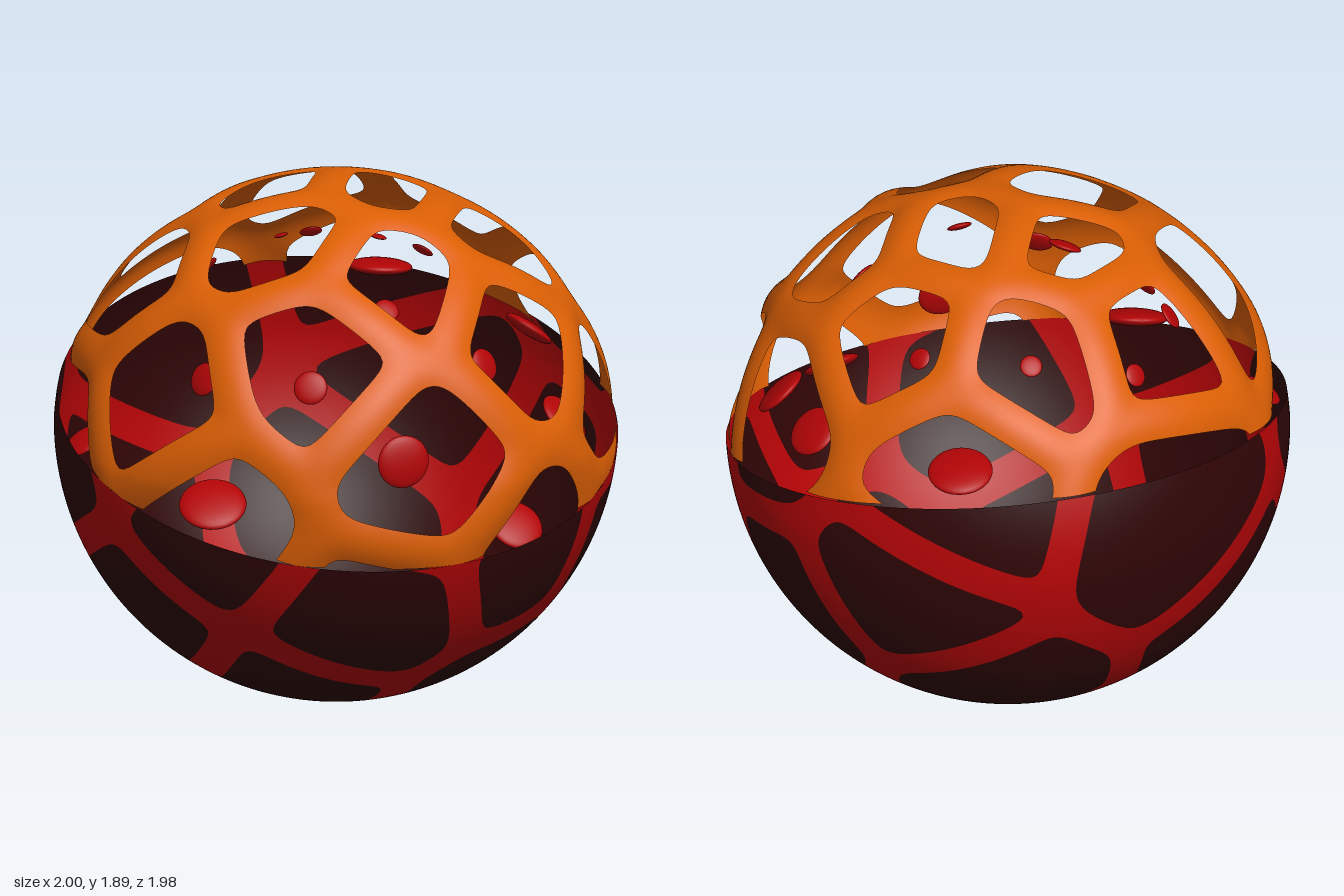
import * as THREE from 'three';
import { mergeVertices } from 'three/addons/utils/BufferGeometryUtils.js';

const V = (x, y, z) => new THREE.Vector3(x, y, z);

// Cell centres as directions from the middle of the ball
const upperCells = [
  [-.18, .87, -.17], [.18, .87, .04], [-.31, .8, .24], [.1, .73, -.56], [-.37, .69, -.53],
  [-.68, .58, -.18], [.52, .7, -.24], [.49, .7, .25], [.03, .69, .55], [-.82, .24, .38],
  [.88, .31, -.04], [.5, .37, -.77], [-.36, .46, .72], [.43, .47, .67], [-.03, .12, .98],
  [-.76, -.1, .63], [.45, -.32, .84], [.84, .1, .46],
];
const lowerCells = [
  [-.18, -.5, .84], [.82, -.34, .43], [.87, -.39, -.24], [.69, -.17, -.7], [.34, -.64, -.7],
  [.4, -.87, .42], [.34, -.93, -.05], [-.32, -.88, .39], [-.33, .15, -.93], [-.97, -.03, -.14],
  [-.6, -.5, -.63], [-.8, -.58, .14], [-.16, -.95, -.25],
];
const seeds = [...upperCells, ...lowerCells].map((c) => V(...c).normalize());
const bisectors = seeds.map((a, i) =>
  seeds.filter((_, j) => j !== i).map((b) => a.clone().sub(b).normalize()));

// Distance from the nearest cell border, rounded off in the corners
function borderDistance(d) {
  let best = 0;
  seeds.forEach((s, i) => { if (s.dot(d) > seeds[best].dot(d)) best = i; });
  const k = 0.027;
  let sum = 0;
  for (const n of bisectors[best]) sum += Math.exp(-n.dot(d) / k);
  return Math.max(-0.02, -k * Math.log(sum));
}

// Height above the tilted plane where net and bowl meet
const seamHeight = (d) => d.y + 0.31 * d.z - 0.02 * d.x - 0.03;

// Keep the part of a polygon where value(corner) is positive
function clip(poly, value) {
  const out = [];
  poly.forEach((a, i) => {
    const b = poly[(i + 1) % poly.length];
    const va = value(a), vb = value(b);
    if (va >= 0) out.push(a);
    if ((va >= 0) !== (vb >= 0)) {
      const t = va / (va - vb);
      out.push({
        d: a.d.clone().lerp(b.d, t).normalize(),
        f: a.f + (b.f - a.f) * t,
        h: a.h + (b.h - a.h) * t,
      });
    }
  });
  return out;
}

// Collects clipped polygons and turns them into a smooth mesh
function surface(name, material, radius) {
  const points = [];
  return {
    add(poly) {
      const p = poly.map((c) => c.d.clone().multiplyScalar(radius(c)));
      for (let i = 2; i < p.length; i++) {
        for (const q of [p[0], p[i - 1], p[i]]) points.push(q.x, q.y + 1, q.z);
      }
    },
    mesh() {
      let g = new THREE.BufferGeometry();
      g.setAttribute('position', new THREE.Float32BufferAttribute(points, 3));
      g = mergeVertices(g, 1e-4);
      g.computeVertexNormals();
      const m = new THREE.Mesh(g, material);
      m.name = name;
      return m;
    },
  };
}

export function createModel() {
  const group = new THREE.Group();
  group.name = 'cellularBall';
  const mat = (name, color) => {
    const m = new THREE.MeshStandardMaterial({ color, side: THREE.DoubleSide });
    m.name = name;
    return m;
  };
  const orange = mat('orange', 0xdc5f04);
  const red = mat('red', 0xb20406);
  const dark = mat('dark maroon', 0x2e0405);

  const ribHalf = 0.064, netHalf = 0.077;
  const bowlRadius = (c) => 1 - 0.05 * Math.max(0, c.d.y);
  const netRadius = (c) =>
    1 - 0.11 * Math.max(0, c.d.y) - 0.014 * Math.min(1, (Math.max(0, c.f) / netHalf) ** 2);

  const net = surface('upperNet', orange, netRadius);
  const ribs = surface('bowlRibs', red, bowlRadius);
  const panels = surface('bowlPanels', dark, bowlRadius);

  // Divide a fine sphere into net, ribs and panels
  const pos = new THREE.IcosahedronGeometry(1, 46).attributes.position;
  for (let i = 0; i < pos.count; i += 3) {
    const tri = [0, 1, 2].map((k) => {
      const d = V().fromBufferAttribute(pos, i + k).normalize();
      return { d, f: borderDistance(d), h: seamHeight(d) };
    });
    const upper = clip(tri, (c) => c.h);
    const lower = clip(tri, (c) => -c.h);
    net.add(clip(upper, (c) => netHalf - c.f));
    ribs.add(clip(lower, (c) => ribHalf - c.f));
    panels.add(clip(lower, (c) => c.f - ribHalf));
  }
  group.add(net.mesh(), ribs.mesh(), panels.mesh());

  // Flat floating discs behind the openings: x, y, z, radius
  // and, where they do not face straight outward, the facing direction
  const discs = [
    [-.155, 1.66, -.14, .025], [.16, 1.66, 0, .03], [-.29, 1.56, .2, .06], [.075, 1.56, -.44, .04],
    [-.3, 1.46, -.49, .042], [-.55, 1.44, -.17, .05], [.41, 1.52, -.21, .04], [.41, 1.54, .23, .035],
    [.01, 1.54, .465, .045], [-.6, 1.29, .25, .06], [.77, 1.22, -.1, .095, [.6, .75, -.1]],
    [.42, 1.33, -.65, .115, [.1, .98, -.13]], [-.32, 1.32, .57, .06], [.34, 1.33, .57, .06],
    [-.03, 1.06, .73, .095], [-.68, .92, .54, .12, [-.2, .85, .43]],
    [.37, .8, .8, .1, [.1, .75, .65]], [.71, 1.04, .4, .1, [.55, .7, .45]],
    [-.91, .99, -.12, .08, [-.55, .83, 0]],
  ];
  const ball = new THREE.SphereGeometry(1, 24, 16);
  for (const [x, y, z, r, facing = [x, y - 1, z]] of discs) {
    const disc = new THREE.Mesh(ball, red);
    disc.name = 'floatingDisc';
    disc.position.set(x, y, z);
    disc.scale.set(r, r, r * 0.25);
    disc.quaternion.setFromUnitVectors(V(0, 0, 1), V(...facing).normalize());
    group.add(disc);
  }
  return group;
}
